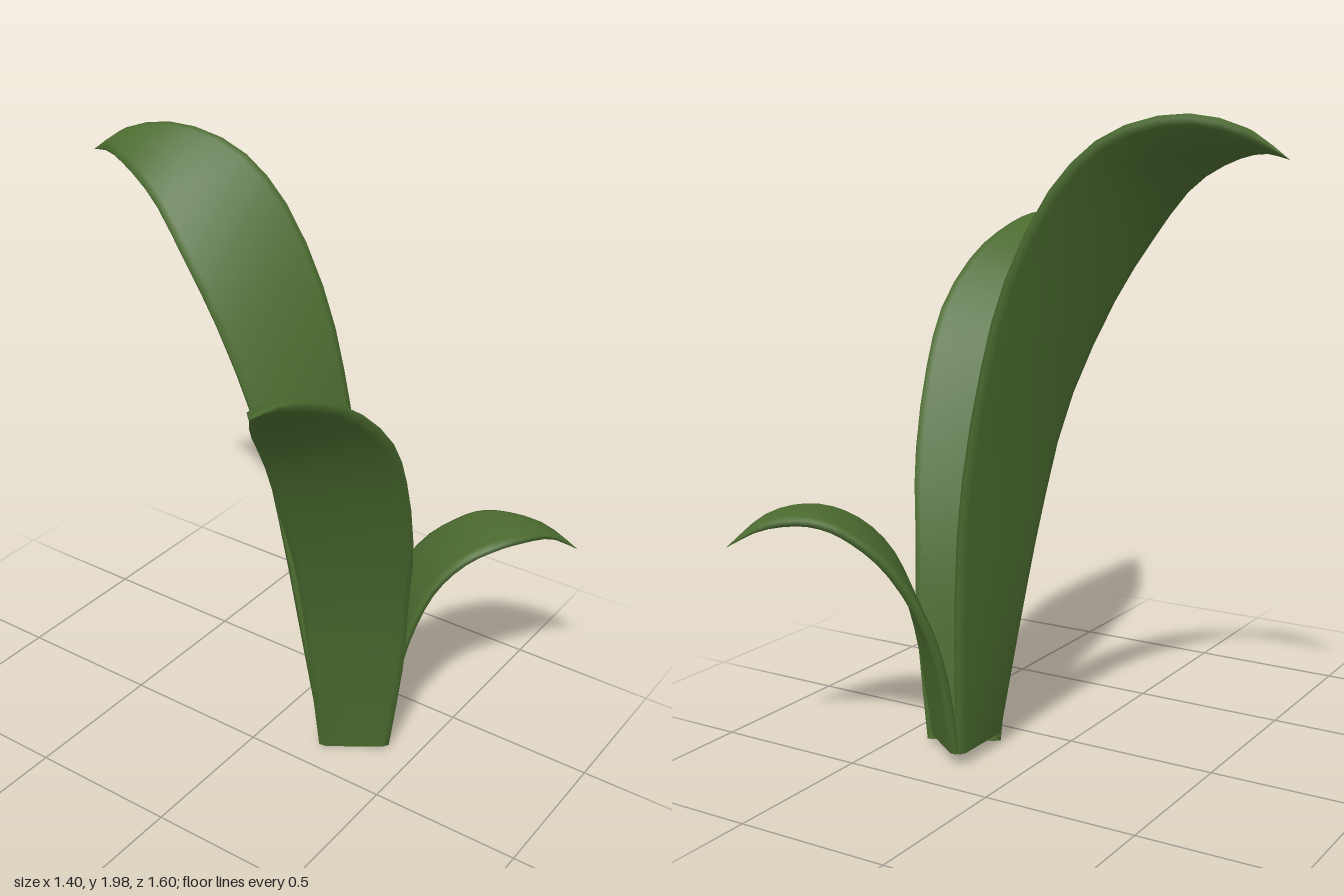
import * as THREE from 'three';

const material = new THREE.MeshStandardMaterial({ color: 0x4b6b2f, side: THREE.DoubleSide });
const THICKNESS = 0.034, RIM = 0.022, STEPS = 20;

// Edge curve through a few points
const curve = (pts) => new THREE.CatmullRomCurve3(pts.map((p) => new THREE.Vector3(...p)));

// A leaf is a thin slab with rounded rims, spanned between two edge curves meeting at the tip
function makeLeaf(name, edgeA, edgeB, tip) {
  const a = curve([...edgeA, tip]), b = curve([...edgeB, tip]);
  const pos = [], index = [];
  let count = 0;
  const normal = new THREE.Vector3();
  for (let i = 0; i <= STEPS; i++) {
    const t = i / STEPS;
    const A = a.getPoint(t), B = b.getPoint(t);
    const mid = A.clone().add(B).multiplyScalar(0.5);
    const half = B.clone().sub(A).multiplyScalar(0.5);
    const along = a.getTangent(t).add(b.getTangent(t));
    if (i < STEPS) normal.crossVectors(half, along).normalize();
    const width = half.length();
    const r = Math.min(0.6, RIM / Math.max(width, 1e-4));
    const th = (THICKNESS / 2) * Math.min(1, width / 0.06);
    // Rounded cross-section: u across the blade, v through it
    const ring = [
      [-1, 0.45], [-1, -0.45], [-1 + r, -0.95], [0, -1], [1 - r, -0.95],
      [1, -0.45], [1, 0.45], [1 - r, 0.95], [0, 1], [-1 + r, 0.95],
    ];
    count = ring.length;
    for (const [u, v] of ring) {
      const p = mid.clone().addScaledVector(half, u).addScaledVector(normal, v * th);
      pos.push(p.x, Math.max(0, p.y), p.z);
    }
  }
  for (let i = 0; i < STEPS; i++) {
    for (let j = 0; j < count; j++) {
      const k = (j + 1) % count;
      const p = i * count + j, p1 = i * count + k;
      index.push(p, p + count, p1, p1, p + count, p1 + count);
    }
  }
  // Flat cut at the base, with its own corners
  const start = pos.length / 3;
  pos.push(...pos.slice(0, count * 3));
  for (let j = 1; j < count - 1; j++) index.push(start, start + j, start + j + 1);

  const geometry = new THREE.BufferGeometry();
  geometry.setAttribute('position', new THREE.Float32BufferAttribute(pos, 3));
  geometry.setIndex(index);
  geometry.computeVertexNormals();
  const mesh = new THREE.Mesh(geometry, material);
  mesh.name = name;
  return mesh;
}

export function createModel() {
  const group = new THREE.Group();
  group.name = 'plant';

  // Tall leaf arching to the back
  group.add(makeLeaf('tallBackLeaf',
    [[0.12, 0.05, 0.2], [0.09, 0.42, 0.14], [0.08, 0.76, 0.07], [0.08, 1.12, -0.03], [0.08, 1.45, -0.19],
      [0.09, 1.65, -0.33], [0.12, 1.8, -0.47], [0.16, 1.87, -0.61], [0.2, 1.89, -0.72]],
    [[0.355, 0.05, 0.2], [0.375, 0.45, 0.185], [0.388, 0.83, 0.155], [0.393, 1.22, 0.08], [0.39, 1.52, -0.01],
      [0.378, 1.79, -0.16], [0.35, 1.93, -0.31], [0.305, 1.985, -0.5], [0.265, 1.955, -0.67]],
    [0.23, 1.87, -0.8]));

  // Middle leaf leaning to the side
  group.add(makeLeaf('sideLeaf',
    [[0.235, 0.02, 0.4], [0.215, 0.4, 0.45], [0.17, 0.67, 0.48], [0.11, 0.9, 0.52], [0, 1.18, 0.55],
      [-0.13, 1.38, 0.57], [-0.3, 1.54, 0.555], [-0.45, 1.62, 0.53], [-0.58, 1.66, 0.51]],
    [[0.11, 0.01, 0.2], [0.04, 0.36, 0.2], [0.005, 0.56, 0.2], [-0.07, 0.82, 0.21], [-0.17, 1.06, 0.22],
      [-0.28, 1.28, 0.245], [-0.41, 1.45, 0.29], [-0.51, 1.55, 0.36], [-0.6, 1.62, 0.42]],
    [-0.7, 1.67, 0.5]));

  // Short leaf drooping towards the front corner
  group.add(makeLeaf('shortFrontLeaf',
    [[0.355, 0.05, 0.2], [0.41, 0.35, 0.22], [0.46, 0.52, 0.26], [0.52, 0.67, 0.335], [0.565, 0.75, 0.42],
      [0.6, 0.79, 0.49], [0.63, 0.8, 0.58], [0.67, 0.775, 0.69]],
    [[0.215, 0.04, 0.385], [0.225, 0.36, 0.43], [0.25, 0.53, 0.465], [0.29, 0.66, 0.51], [0.35, 0.75, 0.575],
      [0.42, 0.795, 0.645], [0.5, 0.805, 0.7], [0.6, 0.785, 0.745]],
    [0.7, 0.71, 0.8]));

  return group;
}
